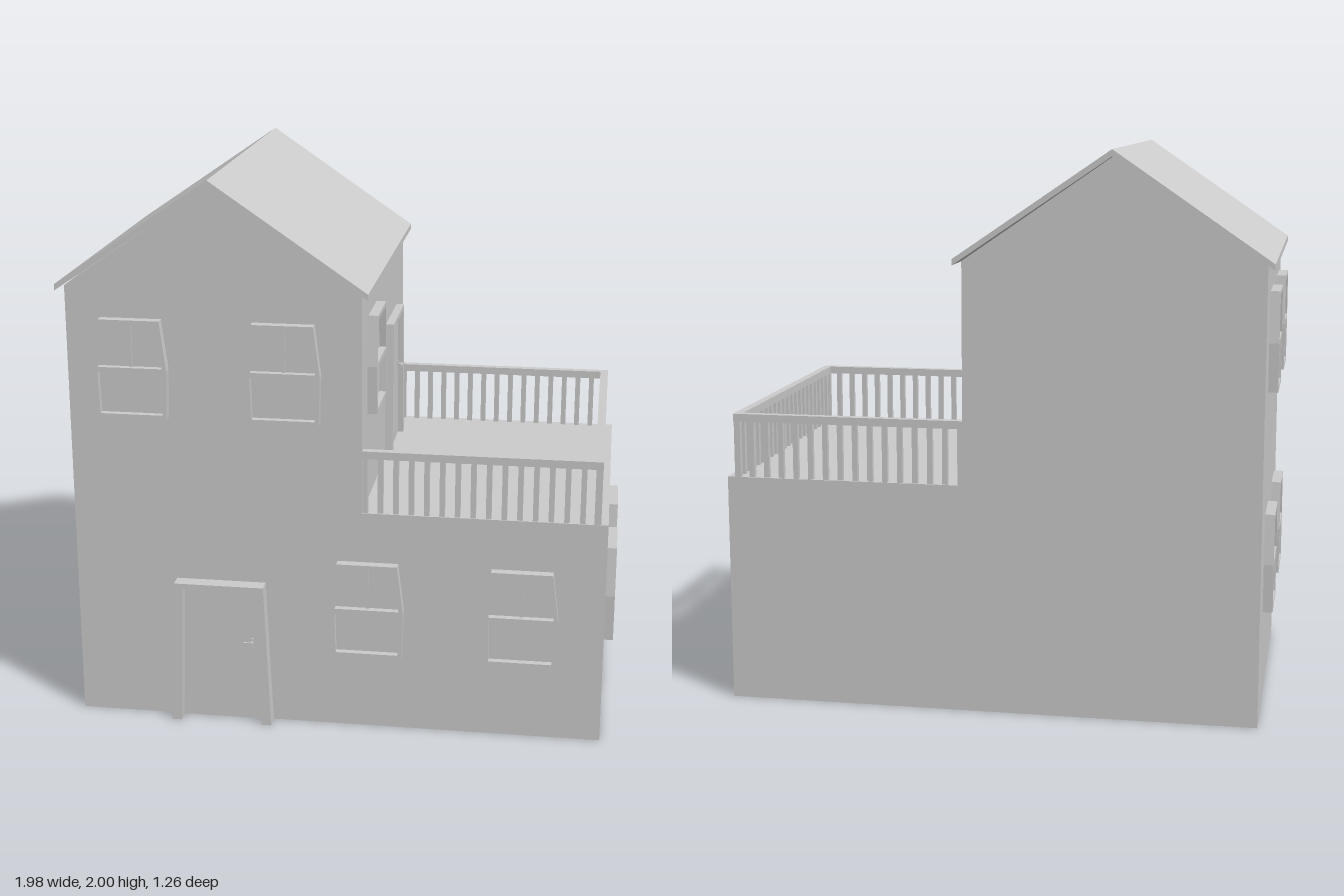
import * as THREE from 'three';

const mat = new THREE.MeshStandardMaterial({ color: 0xcccccc, side: THREE.DoubleSide });
const V = (pts) => pts.map(([x, y]) => new THREE.Vector2(x, y));

function add(parent, name, geo, x = 0, y = 0, z = 0) {
  const m = new THREE.Mesh(geo, mat);
  m.name = name;
  m.position.set(x, y, z);
  parent.add(m);
  return m;
}
const box = (w, h, d) => new THREE.BoxGeometry(w, h, d);

// Flat outline, optionally with holes, pushed out along z
function plate(outline, holes, depth) {
  const s = new THREE.Shape(V(outline));
  for (const h of holes) s.holes.push(new THREE.Path(V(h)));
  return new THREE.ExtrudeGeometry(s, { depth, bevelEnabled: false });
}

const group = (name) => {
  const g = new THREE.Group();
  g.name = name;
  return g;
};

// Window that is widest in the middle; origin at the bottom centre, facing +z
function makeWindow() {
  const g = group('window');
  const outer = [[-0.126, 0], [0.126, 0], [0.131, 0.175], [0.109, 0.355], [-0.109, 0.355], [-0.131, 0.175]];
  const lower = [[-0.112, 0.015], [0.112, 0.015], [0.116, 0.165], [-0.116, 0.165]];
  const upper = [[-0.115, 0.184], [0.115, 0.184], [0.096, 0.339], [-0.096, 0.339]];
  add(g, 'windowFrame', plate(outer, [lower, upper], 0.045), 0, 0, -0.01);
  add(g, 'windowGlass', plate(outer.map(([x, y]) => [x * 0.95, 0.006 + y * 0.965]), [], 0.006), 0, 0, 0.004);
  add(g, 'windowMullion', box(0.01, 0.156, 0.008), 0, 0.261, 0.014);
  return g;
}

// Door with a tapered surround; origin at the threshold centre, facing +z
function makeDoor(depth) {
  const g = group('door');
  add(g, 'doorFrame', plate([[-0.185, 0], [-0.15, 0], [-0.133, 0.52], [0.133, 0.52], [0.15, 0],
    [0.185, 0], [0.163, 0.54], [-0.163, 0.54]], [], depth + 0.01), 0, 0, -0.01);
  add(g, 'doorPanel', plate([[-0.15, 0.003], [0.15, 0.003], [0.133, 0.52], [-0.133, 0.52]], [], 0.01));
  add(g, 'handlePlate', box(0.01, 0.036, 0.006), 0.112, 0.305, 0.012);
  const stem = add(g, 'handleStem', new THREE.CylinderGeometry(0.004, 0.004, 0.02, 8), 0.112, 0.31, 0.02);
  stem.rotation.x = Math.PI / 2;
  add(g, 'handleLever', box(0.034, 0.007, 0.006), 0.1, 0.31, 0.03);
  return g;
}

// Straight railing along local x, standing on y = 0
function makeRailing(length, count) {
  const g = group('railing');
  add(g, 'handrail', box(length, 0.028, 0.03), 0, 0.216, 0);
  for (let i = 0; i < count; i++) {
    const x = -length / 2 + 0.01 + (i * (length - 0.02)) / (count - 1);
    add(g, 'baluster', box(0.019, 0.204, 0.019), x, 0.102, 0);
  }
  return g;
}

export function createModel() {
  const house = group('house');
  const [x0, x1, x2] = [-0.96, 0.087, 0.95];
  const [zb, zf] = [-0.595, 0.575];
  const ridge = -0.436, deck = 0.825, eave = 1.615;
  const zm = (zb + zf) / 2, depth = zf - zb;

  // Front and back walls share one stepped gable outline
  const outline = [[x0, 0], [x2, 0], [x2, deck], [x1, deck], [x1, eave], [ridge, 1.975], [x0, eave]];
  const wall = () => new THREE.ShapeGeometry(new THREE.Shape(V(outline)));
  add(house, 'frontWall', wall(), 0, 0, zf);
  add(house, 'backWall', wall(), 0, 0, zb).rotation.y = 0;

  // Side walls and terrace floor; the underside stays open
  for (const [name, x, y0, y1, s] of [['rightWall', x0, 0, eave, -1],
    ['lowerLeftWall', x2, 0, deck, 1], ['upperLeftWall', x1, deck, eave, 1]]) {
    const m = add(house, name, new THREE.PlaneGeometry(depth, y1 - y0), x, (y0 + y1) / 2, zm);
    m.rotation.y = (s * Math.PI) / 2;
  }
  const floor = add(house, 'terraceFloor', new THREE.PlaneGeometry(x2 - x1, depth), (x1 + x2) / 2, deck, zm);
  floor.rotation.x = -Math.PI / 2;

  // Thin gable roof overhanging all round
  add(house, 'roof', plate([[-0.985, 1.603], [ridge, 1.976], [0.113, 1.603], [0.113, 1.625],
    [ridge, 2], [-0.985, 1.625]], [], 1.24), 0, 0, -0.63);

  // Openings: x, y, z and turn about the vertical axis
  const place = (obj, x, y, z, turn = 0) => {
    obj.position.set(x, y, z);
    obj.rotation.y = (turn * Math.PI) / 2;
    house.add(obj);
  };
  for (const x of [0.108, 0.658]) place(makeWindow(), x, 0.285, zf);
  for (const x of [-0.727, -0.186]) place(makeWindow(), x, 1.15, zf);
  for (const z of [0.204, -0.263]) place(makeWindow(), x2, 0.285, z, 1);
  place(makeWindow(), x1, 1.15, 0.312, 1);
  for (const z of [0.312, -0.235])
    for (const y of [0.352, 1.15]) place(makeWindow(), x0, y, z, -1);
  place(makeDoor(0.055), -0.426, 0, zf);
  place(makeDoor(0.03), x1, 0.81, -0.228, 1);

  // Terrace railing on three sides
  const railX = 0.925, len = railX - x1;
  place(makeRailing(len, 16), x1 + len / 2, deck, zf - 0.015);
  place(makeRailing(len, 16), x1 + len / 2, deck, zb + 0.015);
  place(makeRailing(depth, 23), railX - 0.015, deck, zm, 1);

  return house;
}
